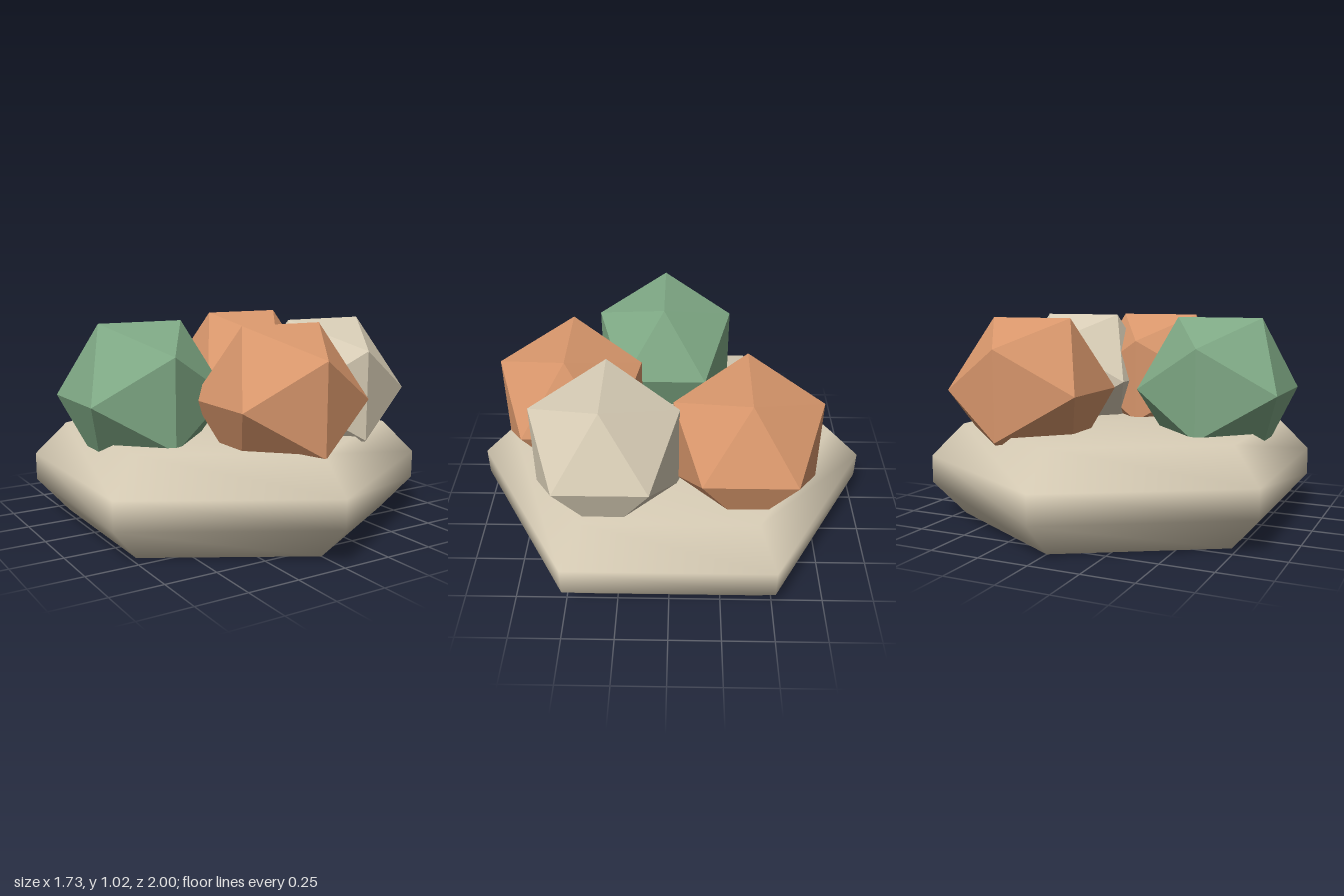
import * as THREE from 'three';

const material = (name, color) => {
  const m = new THREE.MeshStandardMaterial({ color });
  m.name = name;
  return m;
};

export function createModel() {
  const group = new THREE.Group();
  const sand = material('sand', 0xd8cdb6);
  const clay = material('clay orange', 0xd9976c);
  const green = material('sage green', 0x7fa985);

  // Six-sided cushion-like base with chamfered rim and smooth shading
  const profile = [[0, 0], [0.835, 0], [1, 0.17], [1, 0.31], [0.835, 0.475], [0, 0.475]]
    .map(([r, y]) => new THREE.Vector2(r, y));
  const base = new THREE.Mesh(new THREE.LatheGeometry(profile, 6), sand);
  base.name = 'base';
  group.add(base);

  // Faceted stones, slightly sunk into the base
  const stone = new THREE.IcosahedronGeometry(0.414, 0);
  const stones = [
    ['frontStone', clay, 0, 0.5],
    ['rightStone', sand, 0.397, 0.305],
    ['backStone', clay, 0.337, -0.367],
    ['leftStone', green, -0.5, 0.042],
  ];
  for (const [name, mat, x, z] of stones) {
    const mesh = new THREE.Mesh(stone, mat);
    mesh.name = name;
    mesh.position.set(x, 0.67, z);
    group.add(mesh);
  }
  return group;
}
